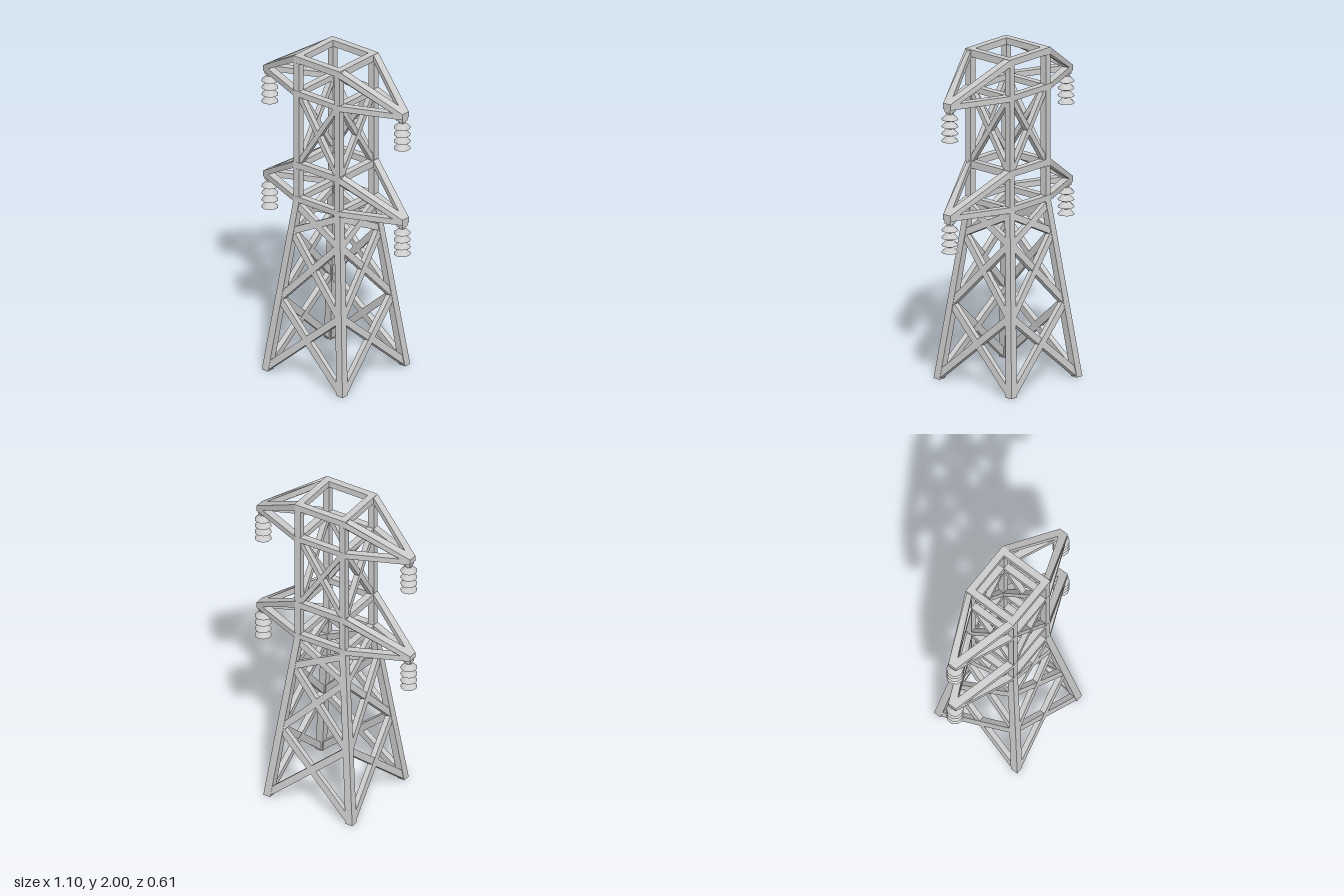
import * as THREE from 'three';

const material = new THREE.MeshStandardMaterial({ color: 0xcccccc, flatShading: true, side: THREE.DoubleSide });
const WAIST = 1.07;               // height where the legs meet the upper cage
const BASE = 0.305, TOP = 0.175;  // outer half widths at ground and waist
const SLOPE = (BASE - TOP) / WAIST;

function add(parent, geometry, name) {
  const mesh = new THREE.Mesh(geometry, material);
  mesh.name = name;
  parent.add(mesh);
  return mesh;
}

// Closed outline with a hole, laid flat and extruded upwards from y
function flatFrame(outer, hole, y, height) {
  const toPoints = (list) => list.map(([x, z]) => new THREE.Vector2(x, -z));
  const shape = new THREE.Shape(toPoints(outer));
  shape.holes.push(new THREE.Path(toPoints(hole)));
  const g = new THREE.ExtrudeGeometry(shape, { depth: height, bevelEnabled: false });
  return g.rotateX(-Math.PI / 2).translate(0, y, 0);
}

const square = (h) => [[-h, -h], [h, -h], [h, h], [-h, h]];

// Tapering leg: a box whose ends are moved to the ground and waist corners
function legGeometry() {
  const g = new THREE.BoxGeometry(1, 1, 1);
  const p = g.attributes.position;
  for (let i = 0; i < p.count; i++) {
    const up = p.getY(i) > 0;
    const outer = up ? TOP : BASE, inner = up ? 0.133 : 0.258;
    p.setXYZ(i, p.getX(i) > 0 ? outer : inner, up ? WAIST + 0.01 : 0, p.getZ(i) > 0 ? outer : inner);
  }
  g.computeVertexNormals();
  return g;
}

// Flat bar lying just behind a face of the tower, given its end points in x and y
function brace(parent, [x0, y0], [x1, y1], faceZ, normal, width, inset) {
  const depth = 0.034;
  const a = new THREE.Vector3(x0, y0, faceZ(y0));
  const b = new THREE.Vector3(x1, y1, faceZ(y1));
  const along = b.clone().sub(a);
  const length = along.length();
  along.normalize();
  const out = normal.clone().addScaledVector(along, -normal.dot(along)).normalize();
  const across = new THREE.Vector3().crossVectors(along, out);
  const mid = a.add(b).multiplyScalar(0.5).addScaledVector(out, -depth / 2 - inset);
  const matrix = new THREE.Matrix4().makeBasis(across, along, out).setPosition(mid);
  add(parent, new THREE.BoxGeometry(width, length, depth).applyMatrix4(matrix), 'brace');
}

function crossBrace(parent, a, b, faceZ, normal, width) {
  brace(parent, a, b, faceZ, normal, width, 0.002);
  brace(parent, [-a[0], a[1]], [-b[0], b[1]], faceZ, normal, width, 0.004);
}

// One of the four equal sides: leg, post and cross braces
function createSide() {
  const side = new THREE.Group();
  side.name = 'towerSide';
  add(side, legGeometry(), 'leg');
  add(side, new THREE.BoxGeometry(0.04, 2 - WAIST - 0.004, 0.04), 'post')
    .position.set(TOP - 0.021, (2 + WAIST) / 2, TOP - 0.021);

  const leaning = new THREE.Vector3(0, SLOPE, 1).normalize();
  const legFace = (y) => BASE - SLOPE * y;
  crossBrace(side, [-0.27, 0.027], [0.218, 0.452], legFace, leaning, 0.042);
  crossBrace(side, [-0.222, 0.463], [0.182, 0.888], legFace, leaning, 0.04);
  crossBrace(side, [-0.175, 0.885], [0.153, 1.05], legFace, leaning, 0.04);
  crossBrace(side, [-0.152, 1.305], [0.152, 1.765], () => TOP - 0.003, new THREE.Vector3(0, 0, 1), 0.03);
  return side;
}

// String of four flared discs hanging from a cap
function createInsulator() {
  const insulator = new THREE.Group();
  insulator.name = 'insulator';
  const profile = [[0, -0.198]];
  for (let i = 3; i >= 0; i--) {
    const y = -0.058 - i * 0.044;
    profile.push([0.022, y - 0.014], [0.05, y - 0.006], [0.047, y], [0.02, y + 0.026]);
  }
  profile.push([0.02, 0], [0, 0]);
  add(insulator, new THREE.LatheGeometry(profile.map(([x, y]) => new THREE.Vector2(x, y)), 10), 'discs');
  add(insulator, new THREE.BoxGeometry(0.045, 0.022, 0.045), 'cap').position.y = -0.009;
  return insulator;
}

// Triangular arm: level lower frame, sloping upper frame and a hanging insulator
function createArm(y) {
  const arm = new THREE.Group();
  arm.name = 'arm';
  const outline = [[0.15, -TOP], [TOP, -TOP], [0.527, -0.028], [0.527, 0.028], [TOP, TOP], [0.15, TOP]];
  const hole = [[0.174, -0.13], [0.474, 0], [0.174, 0.13]];
  add(arm, flatFrame(outline, hole, y, 0.035), 'lowerFrame');

  const sloping = flatFrame(outline, hole, y + 0.211, 0.042);
  const p = sloping.attributes.position;
  for (let i = 0; i < p.count; i++) {
    const drop = 0.62 * Math.max(0, p.getX(i) - TOP);
    p.setY(i, Math.max(y + 0.002, p.getY(i) - drop));
  }
  sloping.computeVertexNormals();
  add(arm, sloping, 'slopingFrame');

  const insulator = createInsulator();
  insulator.position.set(0.5, y, 0);
  arm.add(insulator);
  return arm;
}

export function createModel() {
  const model = new THREE.Group();
  model.name = 'transmissionTower';

  for (let i = 0; i < 4; i++) {
    const side = createSide();
    side.rotation.y = i * Math.PI / 2;
    model.add(side);
  }

  // Two levels, each with a lower ring, an upper ring and a pair of arms
  for (const y of [WAIST, 1.745]) {
    add(model, flatFrame(square(TOP), square(0.133), y, 0.035), 'lowerRing');
    add(model, flatFrame(square(TOP), square(0.133), y + 0.215, 0.04), 'upperRing');
    for (const turn of [0, Math.PI]) {
      const arm = createArm(y);
      arm.rotation.y = turn;
      model.add(arm);
    }
  }
  return model;
}
